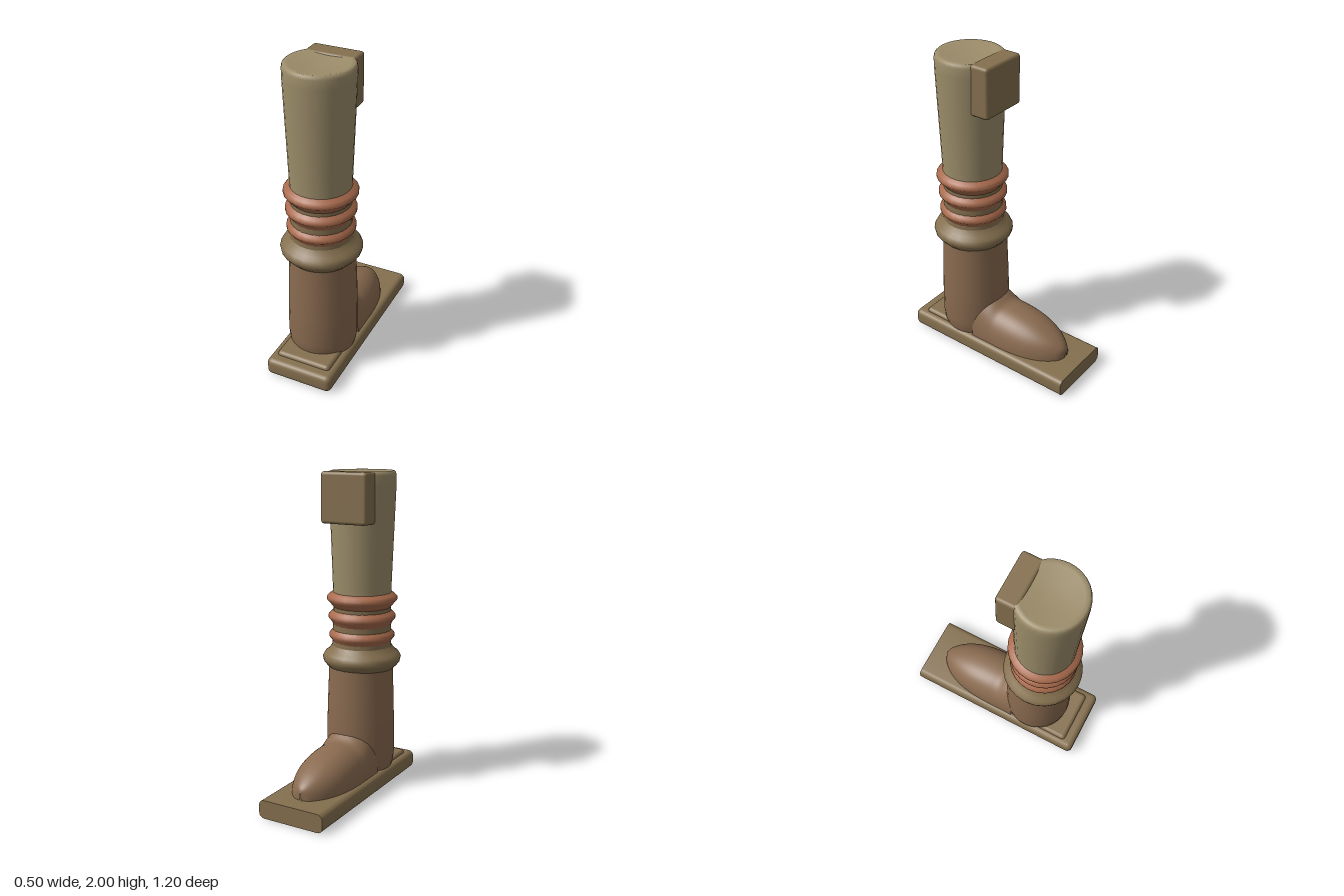
import * as THREE from 'three';
import { toCreasedNormals } from 'three/addons/utils/BufferGeometryUtils.js';
import { RoundedBoxGeometry } from 'three/addons/geometries/RoundedBoxGeometry.js';
import { ParametricGeometry } from 'three/addons/geometries/ParametricGeometry.js';

const LEG_Z = 0.245; // centre line of the leg

export function createModel() {
  const model = new THREE.Group();
  const colours = { cloth: 0x9c8d6a, leather: 0x8a6b50, band: 0xa86a4c, wood: 0x85704f };

  function add(name, geometry, colour, x = 0, y = 0, z = 0) {
    const material = new THREE.MeshStandardMaterial({ color: colours[colour], side: THREE.DoubleSide });
    const mesh = new THREE.Mesh(geometry, material);
    mesh.name = name;
    mesh.position.set(x, y, z);
    model.add(mesh);
    return mesh;
  }

  // Turned part around the leg; profile is [radius, height] from bottom to top
  function turned(name, profile, colour, sides = 32) {
    const points = profile.map(([r, y]) => new THREE.Vector2(r, y));
    const geometry = toCreasedNormals(new THREE.LatheGeometry(points, sides), 1);
    return add(name, geometry, colour, 0, 0, LEG_Z);
  }

  // Base plank: rounded edges and heel end, cut off square at the toe end
  const plank = new RoundedBoxGeometry(0.44, 0.115, 1.25, 4, 0.035).translate(0, 0.0575, -0.025);
  const pos = plank.attributes.position;
  for (let i = 0; i < pos.count; i++) pos.setZ(i, Math.max(pos.getZ(i), -0.6));
  add('basePlank', toCreasedNormals(plank, 0.7), 'wood');
  add('heelPad', new RoundedBoxGeometry(0.36, 0.06, 0.5, 3, 0.025), 'wood', 0, 0.108, 0.28);

  // Foot: arched cross-sections [z, half width, top height] from ankle to toe
  const sections = [
    [0.12, 0.19, 0.42], [0.03, 0.19, 0.37], [-0.03, 0.19, 0.333], [-0.1, 0.19, 0.327],
    [-0.2, 0.183, 0.314], [-0.3, 0.163, 0.288], [-0.39, 0.125, 0.25],
    [-0.45, 0.08, 0.212], [-0.478, 0.045, 0.185], [-0.49, 0.004, 0.16],
  ];
  const spine = new THREE.CatmullRomCurve3(sections.map(([z, w, t]) => new THREE.Vector3(w, t, z)));
  const foot = new ParametricGeometry((u, v, target) => {
    const s = spine.getPoint(v);
    const a = Math.PI * (1 - u);
    const c = Math.cos(a);
    target.set(s.x * Math.sign(c) * Math.abs(c) ** 0.9, 0.1 + (s.y - 0.1) * Math.abs(Math.sin(a)) ** 0.85, s.z);
  }, 28, 36);
  foot.computeVertexNormals();
  add('foot', foot, 'leather');

  // Boot shaft, widening slightly toward the heel
  const ankle = turned('bootShaft', [
    [0.2, 0.1], [0.212, 0.14], [0.219, 0.2], [0.217, 0.4], [0.211, 0.6], [0.206, 0.72], [0.204, 0.82],
  ], 'leather');
  ankle.position.z = 0.235;

  // Rolled cuff
  turned('cuff', [
    [0.2, 0.76], [0.225, 0.785], [0.245, 0.81], [0.25, 0.835], [0.237, 0.86], [0.215, 0.875], [0.19, 0.91],
  ], 'wood', 24);

  // Under-sleeve seen in the grooves between the bands
  turned('sleeve', [[0.19, 0.85], [0.185, 1.0], [0.182, 1.15], [0.184, 1.25]], 'wood');

  // Wrapped bands: [height, radius]
  for (const [y, r] of [[0.975, 0.208], [1.095, 0.213], [1.212, 0.222]]) {
    turned('wrapBand', [
      [0.182, y - 0.055], [r - 0.014, y - 0.022], [r, y - 0.008],
      [r, y + 0.01], [r - 0.012, y + 0.024], [0.18, y + 0.042],
    ], 'band', 24);
  }

  // Upper leg with a softly rounded rim and a shallow dished top
  turned('upperLeg', [
    [0.183, 1.22], [0.185, 1.3], [0.192, 1.5], [0.2, 1.72], [0.207, 1.92], [0.207, 1.975],
    [0.202, 1.992], [0.193, 2.0], [0.17, 1.997], [0.09, 1.985], [0, 1.98],
  ], 'cloth');

  // Block fixed to the toe side of the upper leg
  add('shinBlock', new RoundedBoxGeometry(0.315, 0.31, 0.13, 3, 0.02), 'wood', 0, 1.845, 0.065);

  return model;
}
